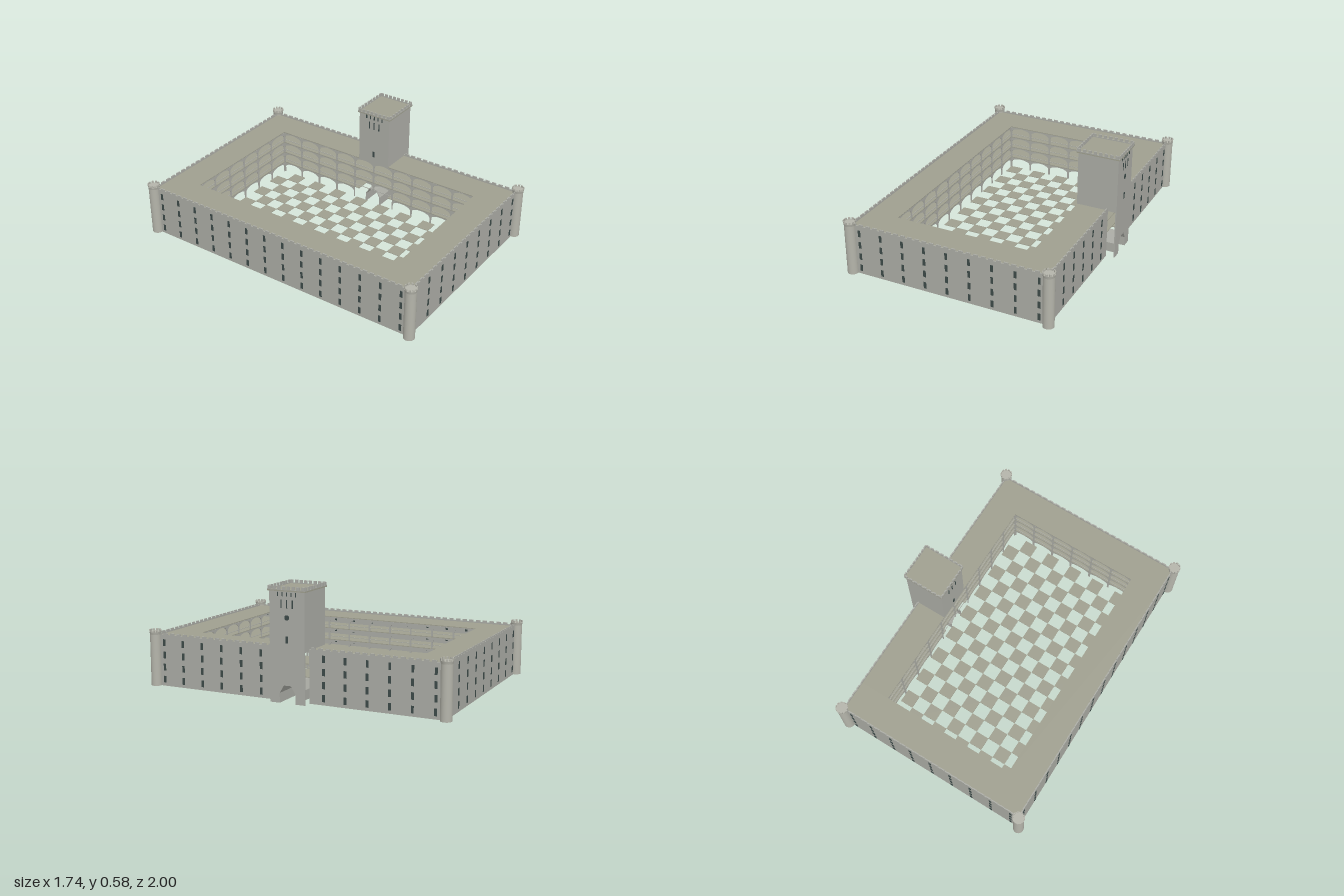
import * as THREE from 'three';
import { mergeGeometries } from 'three/addons/utils/BufferGeometryUtils.js';

const WX = 0.545, WZ = 0.81;      // outer wall half sizes
const CX = 0.376, CZ = 0.636;     // courtyard half sizes
const STOREY = 0.0667, DECK = 0.267, WALL_TOP = 0.274;
const KX0 = 0.373, KX1 = 0.592, KZ = 0.097, KTOP = 0.56; // keep

const mat = (name, color) => Object.assign(new THREE.MeshStandardMaterial({ color }), { name });

// box from min and max corners
function box(x0, x1, y0, y1, z0, z1) {
  return new THREE.BoxGeometry(x1 - x0, y1 - y0, z1 - z0)
    .translate((x0 + x1) / 2, (y0 + y1) / 2, (z0 + z1) / 2).toNonIndexed();
}

function path(points, Type = THREE.Shape) {
  return new Type(points.map(([x, y]) => new THREE.Vector2(x, y)));
}

// the four sides: turn about y, distance out, half length
const sidesOf = (hx, hz) => [
  { turn: 0, out: hz, half: hx }, { turn: Math.PI / 2, out: hx, half: hz },
  { turn: Math.PI, out: hz, half: hx }, { turn: -Math.PI / 2, out: hx, half: hz },
];

export function createModel() {
  const wallMat = mat('wall stone', 0xabaca5);
  const roofMat = mat('roof and floor stone', 0x9f9f8f);
  const towerMat = mat('tower stone', 0xb4b4aa);
  const windowMat = mat('window dark', 0x3c4a48);

  const model = new THREE.Group();
  model.name = 'castle';
  const castle = new THREE.Group();
  castle.name = 'rotatedCastle';
  castle.rotation.y = 0.4276;
  model.add(castle);
  const add = (name, material, geos) => {
    const mesh = new THREE.Mesh(mergeGeometries(geos), material);
    mesh.name = name;
    castle.add(mesh);
  };

  // outer walls, with battlements and rows of slit windows
  const walls = [], teeth = [], slits = [];
  sidesOf(WX, WZ).forEach(({ turn, out, half }, side) => {
    const put = (list, g) => list.push(g.rotateY(turn));
    const gate = side === 1;
    const spans = gate ? [[-half, -KZ], [KZ, half]] : [[-half, half]];
    for (const [a, b] of spans) put(walls, box(a, b, 0, WALL_TOP, out - 0.006, out));
    const n = Math.round((2 * half) / 0.04), pitch = (2 * half) / n;
    for (let i = 0; i < n; i++) {
      const c = -half + (i + 0.5) * pitch;
      if (gate && Math.abs(c) < KZ) continue;
      put(teeth, box(c - 0.012, c + 0.012, WALL_TOP, 0.283, out - 0.006, out));
    }
    const count = side % 2 ? 14 : 9, gap = side % 2 ? 0.117 : 0.124;
    for (let i = 0; i < count; i++) {
      const c = (i - (count - 1) / 2) * gap;
      if (gate && Math.abs(c) < KZ) continue;
      for (let level = 0; level < 4; level++) {
        const y = 0.035 + level * 0.0655;
        put(slits, box(c - 0.007, c + 0.007, y - 0.018, y + 0.018, out - 0.008, out + 0.002));
      }
    }
  });
  add('outerWalls', wallMat, walls);
  add('wallBattlements', wallMat, teeth);
  add('wallWindows', windowMat, slits);

  // round corner towers with toothed crowns
  const shafts = [], crowns = [];
  for (const sx of [-1, 1]) for (const sz of [-1, 1]) {
    const x = sx * 0.547, z = sz * 0.8135;
    shafts.push(new THREE.CylinderGeometry(0.029, 0.029, 0.275, 24).translate(x, 0.1375, z));
    crowns.push(new THREE.CylinderGeometry(0.032, 0.029, 0.014, 24).translate(x, 0.281, z).toNonIndexed());
    for (let i = 0; i < 10; i++) {
      crowns.push(new THREE.BoxGeometry(0.011, 0.011, 0.005).translate(0, 0.2935, 0.0295)
        .rotateY((i / 10) * Math.PI * 2).translate(x, 0, z).toNonIndexed());
    }
  }
  add('cornerTowers', towerMat, shafts);
  add('towerCrowns', towerMat, crowns);

  // gallery floors and roof deck around the courtyard
  const ring = (y, open) => {
    const y0 = y - 0.004, X = WX - 0.006, Z = WZ - 0.006;
    const g = [box(-X, X, y0, y, CZ, Z), box(-X, X, y0, y, -Z, -CZ), box(-X, -CX, y0, y, -CZ, CZ)];
    if (open) g.push(box(CX, X, y0, y, KZ, CZ), box(CX, X, y0, y, -CZ, -KZ));
    else g.push(box(CX, X, y0, y, -CZ, CZ));
    return g;
  };
  add('galleryFloors', roofMat, [1, 2, 3].flatMap((i) => ring(i * STOREY, i === 1)));
  add('roofDeck', roofMat, ring(DECK, false));

  // arcades facing the courtyard: one arched bay repeated on four levels
  const bay = (w) => {
    const h = STOREY - 0.004, in_ = w / 2 - 0.005;
    const pts = [[-w / 2, 0], [-w / 2, h], [w / 2, h], [w / 2, 0], [in_, 0]];
    for (let i = 0; i <= 10; i++) {
      const a = (i / 10) * Math.PI;
      pts.push([Math.cos(a) * in_, 0.034 + Math.sin(a) * 0.024]);
    }
    pts.push([-in_, 0]);
    return new THREE.ExtrudeGeometry(path(pts), { depth: 0.004, bevelEnabled: false });
  };
  const arcades = [], rails = [];
  sidesOf(CX, CZ).forEach(({ turn, out, half }, side) => {
    const n = side % 2 ? 10 : 6, w = (2 * half) / n;
    for (let level = 0; level < 4; level++) {
      const y = level * STOREY;
      for (let i = 0; i < n; i++) {
        const c = -half + (i + 0.5) * w;
        if (side === 1 && level < 1 && Math.abs(c) < KZ) continue;
        arcades.push(bay(w).translate(c, y, out).rotateY(turn));
      }
      if (level) rails.push(box(-half, half, y + 0.016, y + 0.019, out, out + 0.003).rotateY(turn));
    }
  });
  add('courtyardArcades', wallMat, arcades);
  add('galleryRails', wallMat, rails);

  // courtyard paving: alternate slabs with open squares between
  const paving = [], NX = 10, NZ = 17, px = (2 * CX) / NX, pz = (2 * CZ) / NZ;
  for (let i = 0; i < NX; i++) for (let j = 0; j < NZ; j++) {
    if ((i + j) % 2) continue;
    const x = -CX + i * px, z = -CZ + j * pz;
    paving.push(box(x, x + px, 0, 0.003, z, z + pz));
  }
  add('courtyardPaving', roofMat, paving);

  // keep: upper body over the wall, and a tall gate front down to the ground
  add('keepBody', wallMat, [box(KX0, KX1 - 0.006, DECK - 0.004, KTOP, -KZ, KZ)]);
  const arch = [[-0.044, 0], [-0.044, 0.05], [-0.02, 0.09], [0.02, 0.09], [0.044, 0.05], [0.044, 0]];
  const front = path([[-KZ, 0], [-KZ, KTOP], [KZ, KTOP], [KZ, 0], ...[...arch].reverse()]);
  add('gateFront', wallMat, [new THREE.ExtrudeGeometry(front, { depth: 0.006, bevelEnabled: false })
    .rotateY(Math.PI / 2).translate(KX1 - 0.006, 0, 0)]);

  // gate passage
  const shell = [[-0.048, 0], [-0.048, 0.052], [-0.022, 0.094], [0.022, 0.094], [0.048, 0.052], [0.048, 0]];
  const tunnel = path([...shell, ...[...arch].reverse()]);
  add('gatePassage', wallMat, [new THREE.ExtrudeGeometry(tunnel, { depth: KX1 - 0.006 - KX0, bevelEnabled: false })
    .rotateY(Math.PI / 2).translate(KX0, 0, 0)]);

  // keep crown: roof plate, rim and teeth
  const o = 0.008, mid = (KX0 + KX1) / 2, hx = (KX1 - KX0) / 2 + o, hz = KZ + o;
  add('keepRoof', roofMat, [box(KX0 - o, KX1 + o, KTOP, KTOP + 0.006, -hz, hz)]);
  const crown = [];
  sidesOf(hx, hz).forEach(({ turn, out, half }) => {
    const n = 8, w = (2 * half) / n;
    crown.push(box(-half, half, KTOP + 0.006, KTOP + 0.01, out - 0.006, out).rotateY(turn).translate(mid, 0, 0));
    for (let i = 0; i < n; i++) {
      const c = -half + (i + 0.5) * w;
      crown.push(box(c - 0.008, c + 0.008, KTOP + 0.01, 0.585, out - 0.006, out).rotateY(turn).translate(mid, 0, 0));
    }
  });
  add('keepBattlements', wallMat, crown);

  // keep windows on the gate and courtyard faces
  const openings = [];
  for (const [x, outer] of [[KX1, true], [KX0, false]]) {
    const plate = (z, y, w, h) => openings.push(box(x - 0.002, x + 0.002, y - h / 2, y + h / 2, z - w / 2, z + w / 2));
    for (const i of [-1, 0, 1]) plate(i * 0.031, 0.497, 0.006, 0.042);
    for (let i = -2; i <= 2; i++) plate(i * 0.025, 0.545, 0.006, 0.02);
    plate(0, 0.32, 0.013, 0.034);
    if (outer) openings.push(new THREE.CylinderGeometry(0.013, 0.013, 0.004, 20)
      .rotateZ(Math.PI / 2).translate(x, 0.43, 0).toNonIndexed());
  }
  add('keepWindows', windowMat, openings);

  return model;
}
